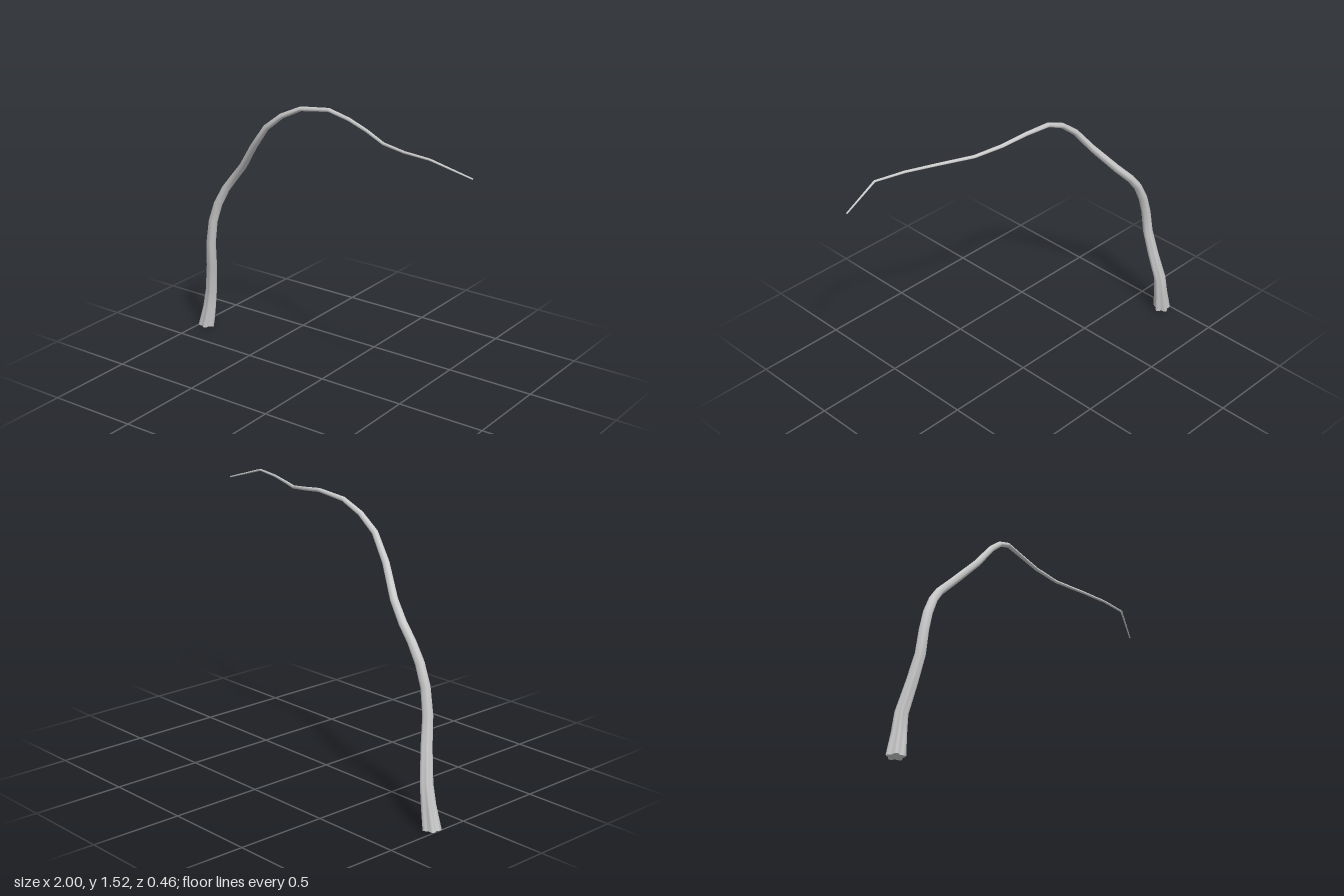
import * as THREE from 'three';

// Centre line of the branch: x, y, z, radius
const PATH = [
  [-0.96, 0, -0.183, 0.05], [-0.936, 0.12, -0.186, 0.04], [-0.92, 0.23, -0.186, 0.035],
  [-0.886, 0.4, -0.155, 0.031], [-0.864, 0.55, -0.127, 0.028], [-0.842, 0.69, -0.124, 0.026],
  [-0.805, 0.8, -0.127, 0.025], [-0.75, 0.9, -0.131, 0.023], [-0.69, 0.975, -0.13, 0.022],
  [-0.6, 1.07, -0.102, 0.021], [-0.475, 1.22, -0.037, 0.019], [-0.37, 1.35, -0.012, 0.017],
  [-0.27, 1.43, -0.016, 0.015], [-0.155, 1.486, -0.026, 0.013], [0.015, 1.507, -0.035, 0.011],
  [0.157, 1.489, -0.01, 0.01], [0.3, 1.468, 0.04, 0.009], [0.46, 1.455, 0.13, 0.008],
  [0.62, 1.458, 0.19, 0.007], [0.785, 1.463, 0.224, 0.006], [0.998, 1.398, 0.183, 0.004],
];
const LOBES = 5;
const SIDES = LOBES * 4;

// Lobed cross-sections carried along the centre line
function branchGeometry() {
  const points = PATH.map(([x, y, z]) => new THREE.Vector3(x, y, z));
  const positions = [];
  const indices = [];
  const u = new THREE.Vector3(1, 0, 0);
  const previous = new THREE.Vector3(0, 1, 0);
  const tangent = new THREE.Vector3();
  const turn = new THREE.Quaternion();
  const last = points.length - 1;

  points.forEach((p, i) => {
    if (i === 0) tangent.set(0, 1, 0); // flat foot on the ground
    else {
      tangent.subVectors(p, points[i - 1]).normalize();
      if (i < last) tangent.add(points[i + 1].clone().sub(p).normalize()).normalize();
    }
    u.applyQuaternion(turn.setFromUnitVectors(previous, tangent));
    previous.copy(tangent);
    const v = new THREE.Vector3().crossVectors(u, tangent);
    const groove = 0.17 * Math.max(0.25, 1 - p.y / 0.9); // lobes fade upward
    for (let j = 0; j < SIDES; j++) {
      const a = (j / SIDES) * Math.PI * 2;
      const r = PATH[i][3] * (1 - groove + groove * Math.cos(LOBES * a));
      const q = p.clone().addScaledVector(u, r * Math.cos(a)).addScaledVector(v, r * Math.sin(a));
      positions.push(q.x, q.y, q.z);
      if (i < last) {
        const k = (j + 1) % SIDES;
        const a0 = i * SIDES + j, b0 = i * SIDES + k;
        indices.push(a0, a0 + SIDES, b0, b0, a0 + SIDES, b0 + SIDES);
      }
    }
  });

  const geometry = new THREE.BufferGeometry();
  geometry.setAttribute('position', new THREE.Float32BufferAttribute(positions, 3));
  geometry.setIndex(indices);
  geometry.computeVertexNormals();
  return geometry;
}

// Flat cap over one ring of the branch
function capGeometry(branch, ring) {
  const source = branch.getAttribute('position');
  const positions = PATH[ring].slice(0, 3);
  const indices = [];
  for (let j = 0; j < SIDES; j++) {
    const n = ring * SIDES + j;
    positions.push(source.getX(n), source.getY(n), source.getZ(n));
    indices.push(0, 1 + j, 1 + ((j + 1) % SIDES));
  }
  const geometry = new THREE.BufferGeometry();
  geometry.setAttribute('position', new THREE.Float32BufferAttribute(positions, 3));
  geometry.setIndex(indices);
  geometry.computeVertexNormals();
  return geometry;
}

export function createModel() {
  const group = new THREE.Group();
  group.name = 'curvedBranch';
  const material = new THREE.MeshStandardMaterial({ color: 0xcccccc, side: THREE.DoubleSide });
  const add = (name, geometry) => {
    const mesh = new THREE.Mesh(geometry, material);
    mesh.name = name;
    group.add(mesh);
  };

  const branch = branchGeometry();
  add('stem', branch);
  add('footCap', capGeometry(branch, 0));
  add('tipCap', capGeometry(branch, PATH.length - 1));
  return group;
}
